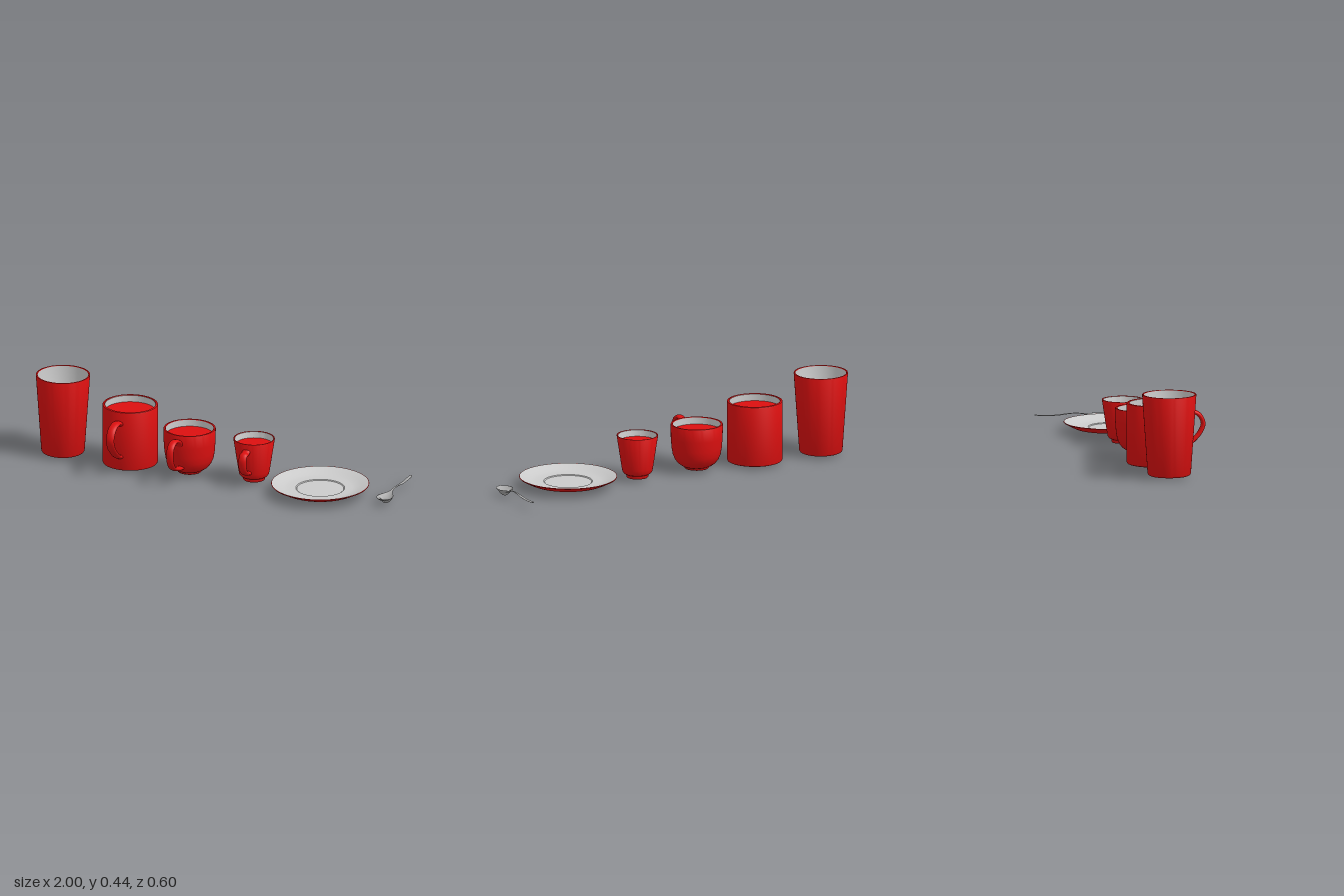
import * as THREE from 'three';
import { toCreasedNormals } from 'three/addons/utils/BufferGeometryUtils.js';

const material = (name, color) => new THREE.MeshStandardMaterial({ name, color });

export function createModel() {
  const red = material('red glaze', 0xdc1010);
  const white = material('white glaze', 0xcbcbcb);
  const steel = material('spoon steel', 0xa8a8a8);
  const model = new THREE.Group();
  model.name = 'tableware';

  const add = (parent, name, geometry, mat) => {
    const mesh = new THREE.Mesh(geometry, mat);
    mesh.name = name;
    parent.add(mesh);
  };

  // Profiles run from the base centre up the outside, or from the rim down the inside
  const lathe = (points) => toCreasedNormals(
    new THREE.LatheGeometry(points.map(([r, y]) => new THREE.Vector2(r, y)), 72), 0.6);

  // Flat strap swept along a curve of [z, y] points
  const strap = (points, radius, halfWidth) => {
    const curve = new THREE.CatmullRomCurve3(points.map(([z, y]) => new THREE.Vector3(0, y, z)));
    return new THREE.TubeGeometry(curve, 60, radius, 16).scale(halfWidth / radius, 1, 1);
  };

  const vessel = (name, x, z, { outer, inner, fill, handle }) => {
    const group = new THREE.Group();
    group.name = name;
    group.position.set(x, 0, z);
    add(group, 'body', lathe(outer), red);
    add(group, 'lining', lathe(inner), white);
    if (fill) {
      const drink = new THREE.CircleGeometry(fill[0], 72).rotateX(-Math.PI / 2).translate(0, fill[1], 0);
      add(group, 'drink', drink, red);
    }
    if (handle) {
      const local = handle.path.map(([hz, hy]) => [hz - z, hy]);
      add(group, 'handle', strap(local, handle.radius, handle.halfWidth), red);
    }
    model.add(group);
  };

  vessel('tumbler', -0.86, 0.033, {
    outer: [[0, 0.004], [0.102, 0.004], [0.108, 0.007], [0.112, 0.014], [0.14, 0.423],
      [0.139, 0.427], [0.133, 0.427], [0.131, 0.424]],
    inner: [[0.131, 0.424], [0.105, 0.035], [0.098, 0.024], [0.085, 0.02], [0, 0.02]],
  });

  vessel('straightMug', -0.48, 0.033, {
    outer: [[0, 0.003], [0.134, 0.003], [0.141, 0.006], [0.144, 0.013], [0.144, 0.316],
      [0.142, 0.321], [0.139, 0.323], [0.133, 0.323], [0.13, 0.32]],
    inner: [[0.13, 0.32], [0.13, 0.03], [0.12, 0.02], [0, 0.02]],
    fill: [0.13, 0.285],
    handle: {
      path: [[0.165, 0.25], [0.185, 0.266], [0.225, 0.27], [0.268, 0.25], [0.289, 0.205],
        [0.273, 0.16], [0.24, 0.122], [0.2, 0.09], [0.165, 0.075]],
      radius: 0.0115, halfWidth: 0.023,
    },
  });

  vessel('roundMug', -0.146, 0.031, {
    outer: [[0, 0.006], [0.05, 0.006], [0.053, 0.003], [0.06, 0.003], [0.063, 0.006], [0.064, 0.014],
      [0.08, 0.021], [0.098, 0.034], [0.113, 0.053], [0.124, 0.08], [0.13, 0.115], [0.134, 0.17],
      [0.135, 0.235], [0.133, 0.24], [0.125, 0.24], [0.123, 0.237]],
    inner: [[0.123, 0.237], [0.122, 0.17], [0.117, 0.11], [0.107, 0.07], [0.085, 0.038], [0.05, 0.024], [0, 0.022]],
    fill: [0.123, 0.203],
    handle: {
      path: [[0.152, 0.175], [0.17, 0.203], [0.2, 0.222], [0.238, 0.226], [0.268, 0.208], [0.28, 0.175],
        [0.273, 0.125], [0.248, 0.092], [0.2, 0.07], [0.15, 0.058], [0.128, 0.056]],
      radius: 0.0105, halfWidth: 0.02,
    },
  });

  vessel('espressoCup', 0.207, 0.006, {
    outer: [[0, 0.006], [0.046, 0.006], [0.049, 0.003], [0.054, 0.003], [0.057, 0.007], [0.058, 0.02],
      [0.07, 0.026], [0.077, 0.036], [0.081, 0.055], [0.107, 0.225], [0.106, 0.228], [0.102, 0.228], [0.1, 0.226]],
    inner: [[0.1, 0.226], [0.075, 0.058], [0.068, 0.038], [0.05, 0.028], [0, 0.026]],
    fill: [0.0955, 0.194],
    handle: {
      path: [[0.095, 0.192], [0.118, 0.178], [0.14, 0.175], [0.153, 0.155], [0.153, 0.125],
        [0.143, 0.095], [0.12, 0.074], [0.085, 0.062]],
      radius: 0.012, halfWidth: 0.022,
    },
  });

  vessel('saucer', 0.592, 0.032, {
    outer: [[0, 0.01], [0.12, 0.01], [0.123, 0.006], [0.13, 0.006], [0.134, 0.011], [0.175, 0.012],
      [0.195, 0.015], [0.215, 0.024], [0.25, 0.042], [0.253, 0.046], [0.252, 0.048], [0.25, 0.048]],
    inner: [[0.25, 0.048], [0.215, 0.035], [0.19, 0.026], [0.165, 0.022], [0.126, 0.021],
      [0.121, 0.017], [0, 0.017]],
  });

  // Spoon stations: z, half width, edge height, bowl depth
  const stations = [
    [0.082, 0.002, 0.028, 0], [0.079, 0.016, 0.028, 0.003], [0.07, 0.028, 0.028, 0.009],
    [0.055, 0.038, 0.028, 0.016], [0.035, 0.043, 0.028, 0.021], [0.015, 0.04, 0.028, 0.021],
    [-0.005, 0.031, 0.028, 0.016], [-0.025, 0.019, 0.029, 0.008], [-0.045, 0.009, 0.031, 0.001],
    [-0.07, 0.006, 0.034, 0], [-0.105, 0.005, 0.035, 0], [-0.145, 0.006, 0.032, 0],
    [-0.17, 0.009, 0.029, 0], [-0.22, 0.009, 0.027, 0], [-0.27, 0.01, 0.029, 0],
    [-0.295, 0.008, 0.031, 0], [-0.304, 0.002, 0.032, 0],
  ];
  const around = 24, positions = [], index = [];
  const path = new THREE.CatmullRomCurve3(stations.map(([z, w, y]) => new THREE.Vector3(w, y, z)));
  const depths = new THREE.CatmullRomCurve3(stations.map((s) => new THREE.Vector3(s[3], 0, 0)));
  const rows = (stations.length - 1) * 3;
  for (let i = 0; i <= rows; i++) {
    const p = path.getPoint(i / rows), depth = Math.max(0, depths.getPoint(i / rows).x);
    for (let j = 0; j < around; j++) {
      const a = (j / around) * Math.PI * 2, u = Math.cos(a);
      positions.push(u * p.x, p.y - depth * (1 - u * u) + 0.0022 * Math.sin(a), p.z);
      if (i === rows) continue;
      const k = (j + 1) % around, b = i * around, c = b + around;
      index.push(b + j, b + k, c + j, b + k, c + k, c + j);
    }
  }
  for (let j = 1; j < around - 1; j++) {
    const e = rows * around;
    index.push(0, j + 1, j, e, e + j, e + j + 1);
  }
  // Rings run counter-clockwise seen from +z while rows go towards -z, so flip the winding
  for (let i = 0; i < index.length; i += 3) [index[i + 1], index[i + 2]] = [index[i + 2], index[i + 1]];
  const spoon = new THREE.BufferGeometry();
  spoon.setAttribute('position', new THREE.Float32BufferAttribute(positions, 3));
  spoon.setIndex(index);
  spoon.computeVertexNormals();
  spoon.translate(0.957, 0, 0);
  add(model, 'spoon', spoon, steel);

  return model;
}
